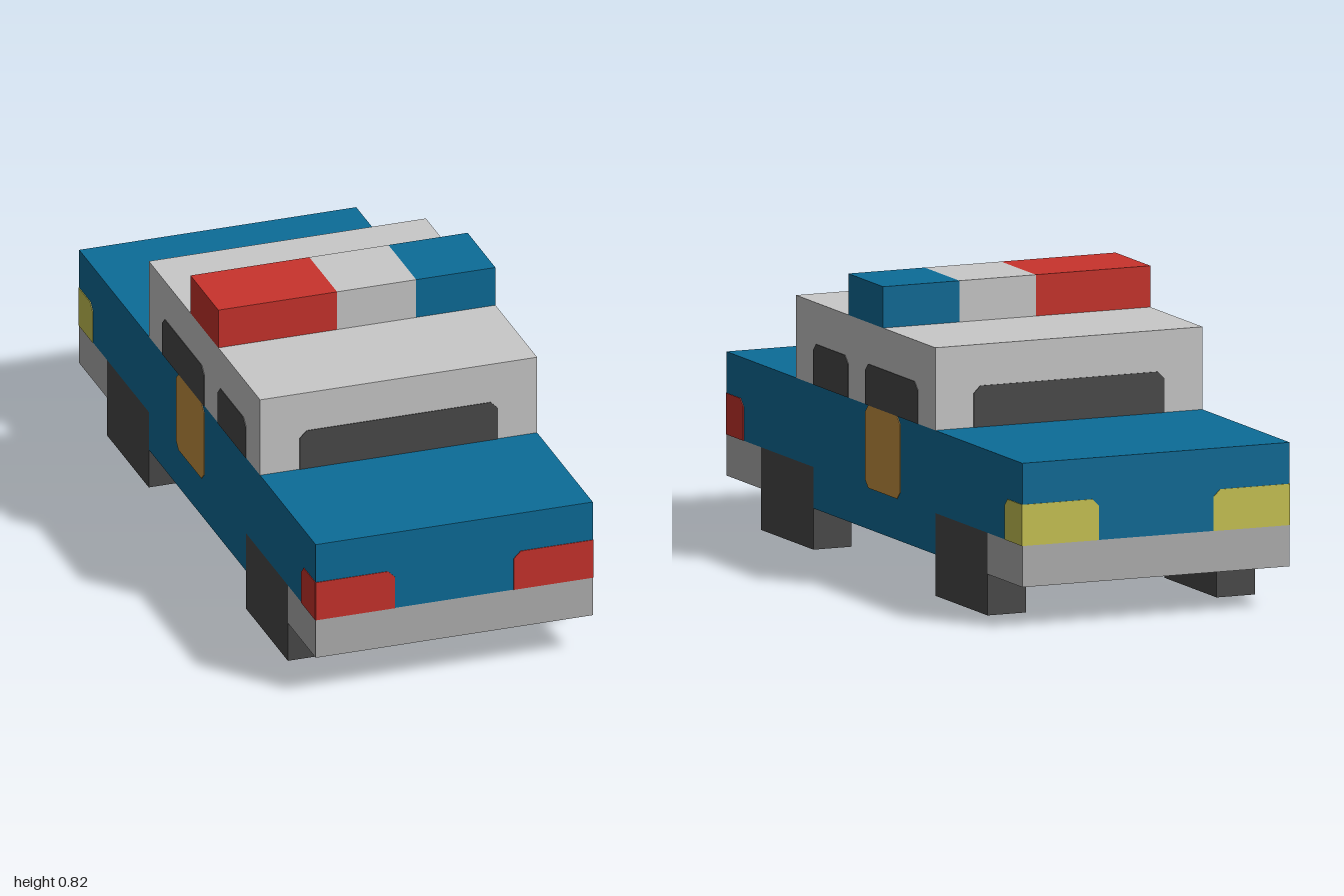
import * as THREE from 'three';

const U = 2 / 34; // building unit: the car is 34 units long

const mat = (name, color) => {
  const m = new THREE.MeshStandardMaterial({ color });
  m.name = name;
  return m;
};

export function createModel() {
  const blue = mat('body blue', 0x0c6c98);
  const lightGrey = mat('cabin light grey', 0xc9c9c9);
  const grey = mat('bumper grey', 0xb0b0b0);
  const dark = mat('tyre and glass dark grey', 0x4a4a4a);
  const red = mat('red', 0xc9332c);
  const orange = mat('door orange', 0xc79341);
  const yellow = mat('lamp yellow', 0xc9c554);

  const car = new THREE.Group();
  car.name = 'car';

  // Box given by its extents in units
  const box = (name, material, [x0, x1], [y0, y1], [z0, z1]) => {
    const g = new THREE.BoxGeometry((x1 - x0) * U, (y1 - y0) * U, (z1 - z0) * U);
    g.translate(((x0 + x1) / 2) * U, ((y0 + y1) / 2) * U, ((z0 + z1) / 2) * U);
    const mesh = new THREE.Mesh(g, material);
    mesh.name = name;
    car.add(mesh);
  };

  // Thin plate on a wall; a..b runs left to right as seen facing that wall.
  // round lists the cut corners: bl, br, tr, tl
  const plate = (name, material, angle, dist, [a, b], [y0, y1], round) => {
    const c = 0.35;
    const corners = [['bl', a, y0, 1, 1], ['br', b, y0, -1, 1], ['tr', b, y1, -1, -1], ['tl', a, y1, 1, -1]];
    const pts = [];
    corners.forEach(([key, x, y, sx, sy], i) => {
      if (!round.includes(key)) return pts.push(new THREE.Vector2(x * U, y * U));
      const onX = new THREE.Vector2((x + sx * c) * U, y * U);
      const onY = new THREE.Vector2(x * U, (y + sy * c) * U);
      pts.push(...(i % 2 ? [onX, onY] : [onY, onX]));
    });
    const g = new THREE.ExtrudeGeometry(new THREE.Shape(pts), { depth: 0.003, bevelEnabled: false });
    g.translate(0, 0, dist * U - 0.001);
    g.rotateY(angle);
    const mesh = new THREE.Mesh(g, material);
    mesh.name = name;
    car.add(mesh);
  };

  // Body, floor and sills between the wheels
  box('body', blue, [-7, 7], [4, 8], [-17, 17]);
  box('floor', blue, [-5, 5], [2, 4], [-15, 15]);
  for (const s of [-1, 1]) {
    const span = (a, b) => (s > 0 ? [a, b] : [-b, -a]);
    box('sill', blue, span(5, 7), [2, 4], [-7, 7]);
    // Bumpers wrap round the corners as far as the wheels
    box('bumper', grey, [-7, 7], [2, 4], span(15, 17));
    for (const z of [[13, 15], [-15, -13]]) box('bumperEnd', grey, span(5, 7), [2, 4], z);
    for (const z of [[7, 13], [-13, -7]]) box('wheel', dark, span(5, 7), [0, 4], z);
  }

  // Cabin and roof lights
  box('cabin', lightGrey, [-7, 7], [8, 12], [-7, 9]);
  box('roofLightRed', red, [-7, -1], [12, 14], [-1, 3]);
  box('roofLightCentre', lightGrey, [-1, 3], [12, 14], [-1, 3]);
  box('roofLightBlue', blue, [3, 7], [12, 14], [-1, 3]);

  // Windscreen, rear window and end lamps
  const top = ['tl', 'tr'];
  plate('windscreen', dark, 0, 9, [-5, 5], [8, 10], top);
  plate('rearWindow', dark, Math.PI, 7, [-5, 5], [8, 10], top);
  for (const [angle, m] of [[0, red], [Math.PI, yellow]]) {
    plate('lamp', m, angle, 17, [-7, -3], [4, 6], ['tr']);
    plate('lamp', m, angle, 17, [3, 7], [4, 6], ['tl']);
  }

  // Side windows, doors and lamp returns on both sides
  for (const s of [-1, 1]) {
    const angle = (s * Math.PI) / 2;
    const span = (z0, z1) => (s > 0 ? [-z1, -z0] : [z0, z1]);
    plate('frontSideWindow', dark, angle, 7, span(3, 7), [8, 10], top);
    plate('rearSideWindow', dark, angle, 7, span(-5, 1), [8, 10], top);
    plate('door', orange, angle, 7, span(-3, 1), [4, 8], ['bl', 'br', 'tr', 'tl']);
    plate('frontLampSide', red, angle, 7, span(15, 17), [4, 6], [s > 0 ? 'tr' : 'tl']);
    plate('rearLampSide', yellow, angle, 7, span(-17, -15), [4, 6], [s > 0 ? 'tl' : 'tr']);
  }
  return car;
}
